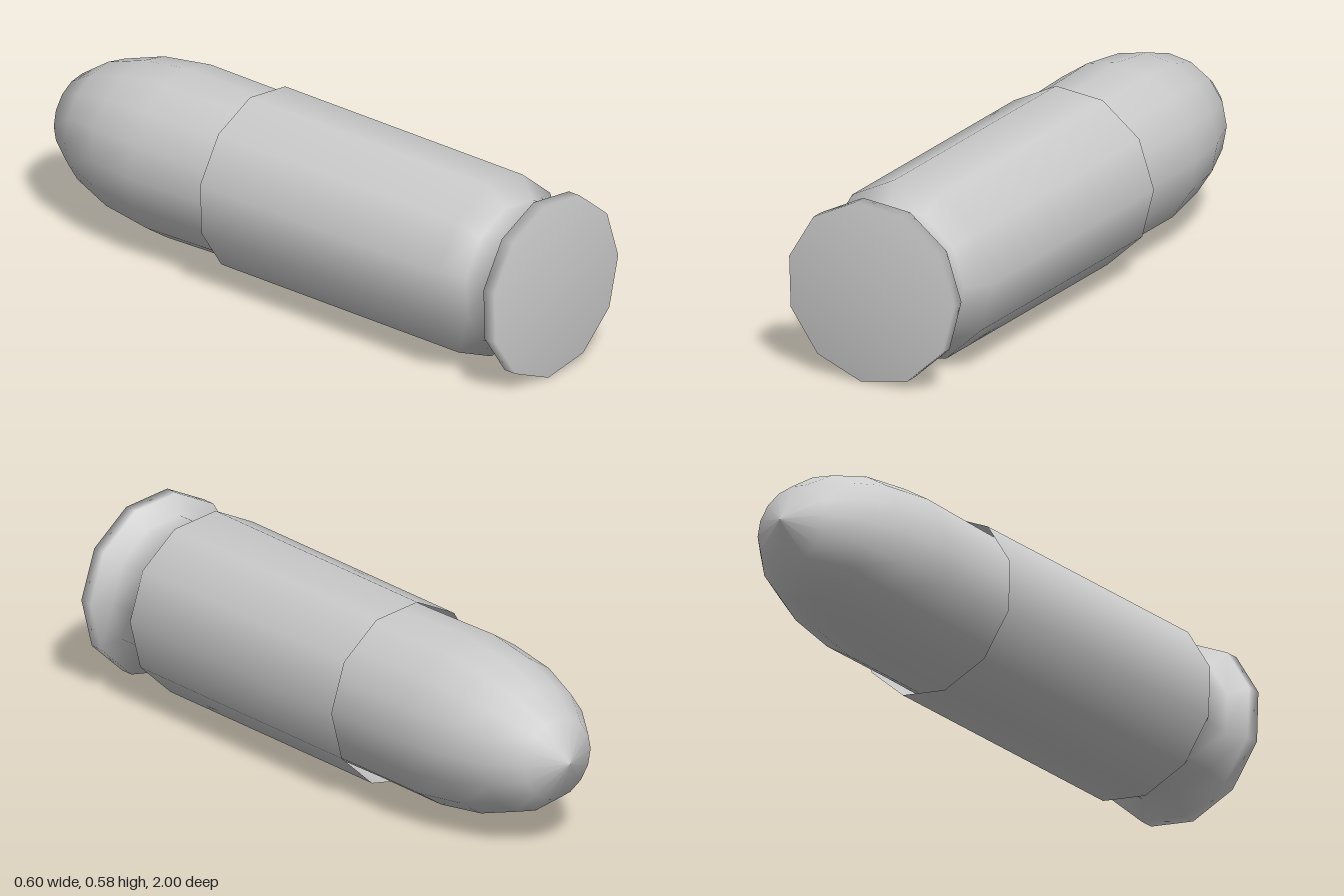
import * as THREE from 'three';

const material = new THREE.MeshStandardMaterial({ color: 0xcccccc, side: THREE.DoubleSide });

// Revolve a [radius, z] profile around the z axis, listed from the base (+z) to the nose (-z)
function turned(name, profile, sides, startAngle) {
  const points = profile.map(([r, z]) => new THREE.Vector2(r, -z));
  const geometry = new THREE.LatheGeometry(points, sides, startAngle);
  geometry.rotateX(-Math.PI / 2);
  const mesh = new THREE.Mesh(geometry, material);
  mesh.name = name;
  return mesh;
}

export function createModel() {
  const group = new THREE.Group();
  group.name = 'cartridge';

  // Eleven-sided case: closed base, rim, extractor groove, shoulder and straight wall
  const cartridgeCase = turned('case', [
    [0, 1], [0.293, 1], [0.293, 0.955], [0.23, 0.925],
    [0.23, 0.83], [0.292, 0.765], [0.292, -0.215],
  ], 11, THREE.MathUtils.degToRad(88.2));

  // The case leans slightly sideways towards its mouth
  const position = cartridgeCase.geometry.attributes.position;
  for (let i = 0; i < position.count; i++) {
    position.setX(i, position.getX(i) - 0.015 - 0.0206 * (position.getZ(i) - 1));
  }
  cartridgeCase.position.y = 0.293;
  group.add(cartridgeCase);

  // Rounded bullet seated inside the case mouth
  const bullet = turned('bullet', [
    [0.27, 0], [0.27, -0.22], [0.274, -0.51], [0.25, -0.69],
    [0.202, -0.835], [0.132, -0.94], [0, -1],
  ], 16, 0);
  bullet.position.set(0.01, 0.298, 0);
  group.add(bullet);

  return group;
}
